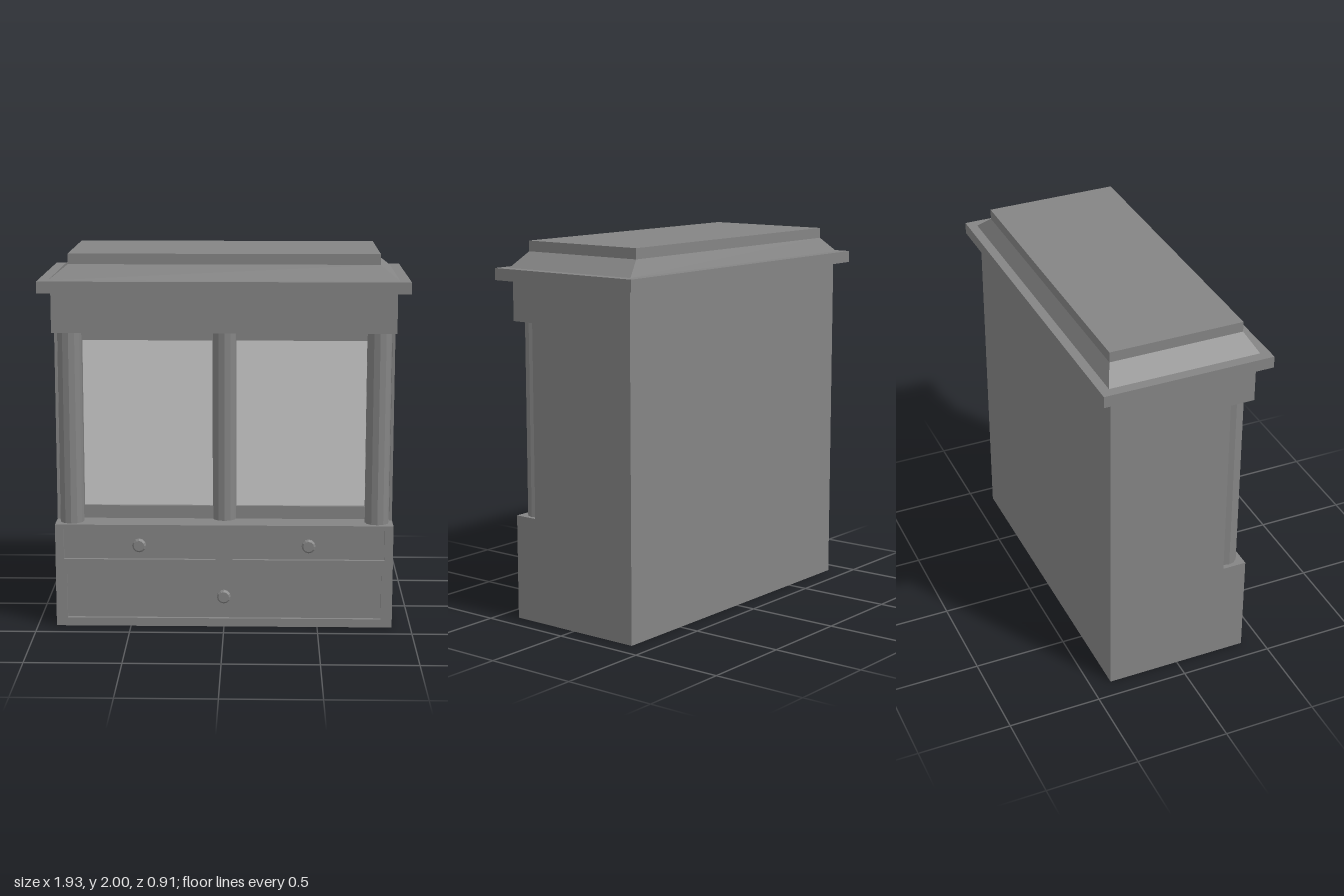
import * as THREE from 'three';

const wood = new THREE.MeshStandardMaterial({ color: 0x848484, flatShading: true });
const pane = new THREE.MeshStandardMaterial({ color: 0xcccccc });

export function createModel() {
  const model = new THREE.Group();

  const add = (name, geometry, material = wood) => {
    const mesh = new THREE.Mesh(geometry, material);
    mesh.name = name;
    model.add(mesh);
    return mesh;
  };
  // Box given by its limits on each axis
  const box = (name, x0, x1, y0, y1, z0, z1, material) =>
    add(name, new THREE.BoxGeometry(x1 - x0, y1 - y0, z1 - z0), material)
      .position.set((x0 + x1) / 2, (y0 + y1) / 2, (z0 + z1) / 2);
  const rectangle = (Kind, x0, x1, y0, y1) => new Kind([
    new THREE.Vector2(x0, y0), new THREE.Vector2(x1, y0),
    new THREE.Vector2(x1, y1), new THREE.Vector2(x0, y1),
  ]);

  // Carcass: drawer base, set-back display section, frieze
  box('base', -0.9, 0.9, 0, 0.56, -0.39, 0.37);
  box('displayCase', -0.9, 0.9, 0.56, 1.59, -0.39, 0.21);
  box('frieze', -0.9, 0.9, 1.59, 1.805, -0.39, 0.39);

  // Base front with sunken drawer panels
  const front = rectangle(THREE.Shape, -0.9, 0.9, 0, 0.56);
  const drawers = [
    [-0.855, -0.045, 0.37, 0.535],
    [0.045, 0.855, 0.37, 0.535],
    [-0.84, 0.84, 0.045, 0.287],
  ];
  for (const d of drawers) front.holes.push(rectangle(THREE.Path, ...d));
  add('drawerFrame', new THREE.ExtrudeGeometry(front, { depth: 0.02, bevelEnabled: false }))
    .position.z = 0.37;

  // Turned knobs
  const knobProfile = [
    [0.02, 0], [0.02, 0.035], [0.037, 0.04], [0.037, 0.05], [0.028, 0.06], [0, 0.06],
  ].map(([r, y]) => new THREE.Vector2(r, y));
  for (const [x, y] of [[-0.45, 0.455], [0.45, 0.455], [0, 0.175]]) {
    const knob = add('knob', new THREE.LatheGeometry(knobProfile, 12));
    knob.rotation.x = Math.PI / 2;
    knob.position.set(x, y, 0.37);
  }

  // Window frame rails, side panels, glass
  box('lowerRail', -0.885, 0.885, 0.56, 0.63, 0.21, 0.24);
  box('upperRail', -0.885, 0.885, 1.53, 1.59, 0.21, 0.24);
  for (const s of [-1, 1]) {
    const span = (a, b) => (s < 0 ? [-b, -a] : [a, b]);
    box('sidePanel', ...span(0.885, 0.9), 0.56, 1.59, 0.21, 0.26);
    box('stile', ...span(0.755, 0.885), 0.63, 1.53, 0.21, 0.24);
    box('glass', ...span(0.04, 0.755), 0.63, 1.53, 0.21, 0.22, pane);
  }

  // Corner columns and the centre column half sunk in the case
  for (const [x, z] of [[-0.815, 0.305], [0.815, 0.305], [0, 0.23]]) {
    add('column', new THREE.CylinderGeometry(0.0635, 0.0635, 1.03, 12))
      .position.set(x, 1.075, z);
  }

  // Cornice: slab, sloped moulding, top
  box('corniceSlab', -0.965, 0.965, 1.803, 1.865, -0.453, 0.453);
  const slope = new THREE.BoxGeometry(2, 0.08, 2);
  const p = slope.attributes.position;
  for (let i = 0; i < p.count; i++) {
    const top = p.getY(i) > 0;
    p.setX(i, p.getX(i) * (top ? 0.81 : 0.91));
    p.setZ(i, p.getZ(i) * (top ? 0.357 : 0.403));
  }
  slope.computeVertexNormals();
  add('corniceSlope', slope).position.y = 1.905;
  box('corniceTop', -0.81, 0.81, 1.945, 2, -0.357, 0.357);

  return model;
}
